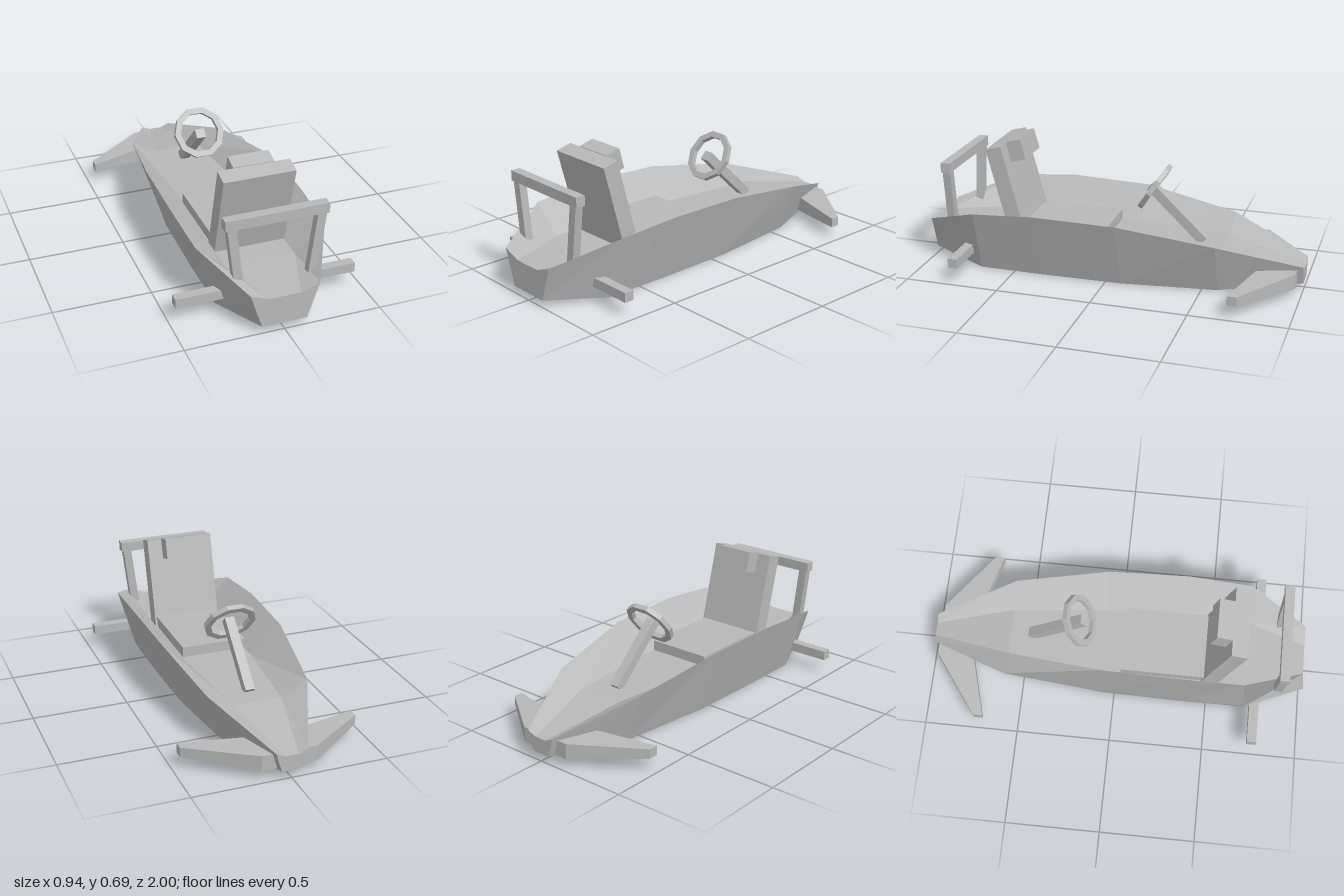
import * as THREE from 'three';

const grey = new THREE.MeshStandardMaterial({ color: 0xb8b8b8, flatShading: true });
grey.name = 'plain grey';

// Joins closed cross-sections (arrays of [x, y, z]) into a solid with end caps.
function loft(sections, cap) {
  const n = sections[0].length;
  const index = [];
  for (let s = 0; s < sections.length - 1; s++) {
    for (let i = 0; i < n; i++) {
      const j = (i + 1) % n;
      const a = s * n + i, b = s * n + j, c = a + n, d = b + n;
      index.push(a, b, c, b, d, c);
    }
  }
  const last = (sections.length - 1) * n;
  for (const [a, b, c] of cap) index.push(a, c, b, last + a, last + b, last + c);
  const g = new THREE.BufferGeometry();
  g.setAttribute('position', new THREE.Float32BufferAttribute(sections.flat(2), 3));
  g.setIndex(index);
  const flat = g.toNonIndexed();
  flat.computeVertexNormals();
  return flat;
}

function add(parent, name, geometry, x = 0, y = 0, z = 0, rx = 0) {
  const mesh = new THREE.Mesh(geometry, grey);
  mesh.name = name;
  mesh.position.set(x, y, z);
  mesh.rotation.x = rx;
  parent.add(mesh);
  return mesh;
}

const box = (w, h, d) => new THREE.BoxGeometry(w, h, d);

export function createModel() {
  const kart = new THREE.Group();
  kart.name = 'kart';

  // Hull: z, bottom half width and y, rim half width and y, floor half width and y
  const hull = [
    [-1, 0.05, 0.04, 0.08, 0.14, 0.035, 0.12],
    [-0.58, 0.175, 0.003, 0.265, 0.27, 0.125, 0.195],
    [-0.08, 0.232, 0, 0.335, 0.35, 0.172, 0.195],
    [0.35, 0.24, 0, 0.347, 0.36, 0.18, 0.195],
    [0.69, 0.238, 0, 0.335, 0.335, 0.18, 0.195],
    [1, 0.115, 0.037, 0.175, 0.22, 0.08, 0.185],
  ].map(([z, bx, by, rx, ry, fx, fy]) => [
    [-bx, by, z], [bx, by, z], [rx, ry, z], [fx, fy, z], [-fx, fy, z], [-rx, ry, z],
  ]);
  add(kart, 'hull', loft(hull, [[0, 1, 3], [1, 2, 3], [0, 3, 4], [0, 4, 5]]));

  // Swept front wings
  for (const side of [-1, 1]) {
    const wing = [
      [0.02, -0.97, -0.79, 0.045, 0.125],
      [0.14, -0.97, -0.775, 0.045, 0.125],
      [0.46, -0.735, -0.685, 0.06, 0.11],
    ].map(([x, z0, z1, y0, y1]) => [
      [side * x, y0, z1], [side * x, y0, z0], [side * x, y1, z0], [side * x, y1, z1],
    ]);
    if (side < 0) wing.reverse();
    add(kart, side > 0 ? 'leftWing' : 'rightWing', loft(wing, [[0, 1, 2], [0, 2, 3]]));
  }

  // Rear axle
  add(kart, 'rearAxle', box(0.935, 0.05, 0.05), 0, 0.104, 0.755);

  // Seat with leaning back and headrest
  const seat = new THREE.Group();
  seat.name = 'seat';
  kart.add(seat);
  add(seat, 'seatCushion', box(0.35, 0.07, 0.47), 0, 0.215, 0.265);
  add(seat, 'seatBack', box(0.37, 0.49, 0.086), 0, 0.417, 0.561, 0.262);
  add(seat, 'headrest', box(0.21, 0.11, 0.083), 0, 0.625, 0.53, 0.262);

  // Roll bar: crossbar on two splayed posts
  add(kart, 'rollBarTop', box(0.52, 0.052, 0.05), 0, 0.546, 0.865);
  for (const side of [-1, 1]) {
    const post = add(kart, 'rollBarPost', box(0.045, 0.38, 0.042), side * 0.206, 0.36, 0.865);
    post.rotation.z = -side * 0.122;
  }

  // Steering wheel: ten-sided ring with a square section
  const ring = [[0.105, -0.013], [0.137, -0.013], [0.137, 0.013], [0.105, 0.013], [0.105, -0.013]]
    .map(([x, y]) => new THREE.Vector2(x, y));
  add(kart, 'steeringWheel', new THREE.LatheGeometry(ring, 10, Math.PI / 10), 0, 0.467, -0.2, 0.985);

  // Steering column
  add(kart, 'steeringColumn', box(0.05, 0.05, 0.4), 0, 0.335, -0.322, -0.76);

  return kart;
}
